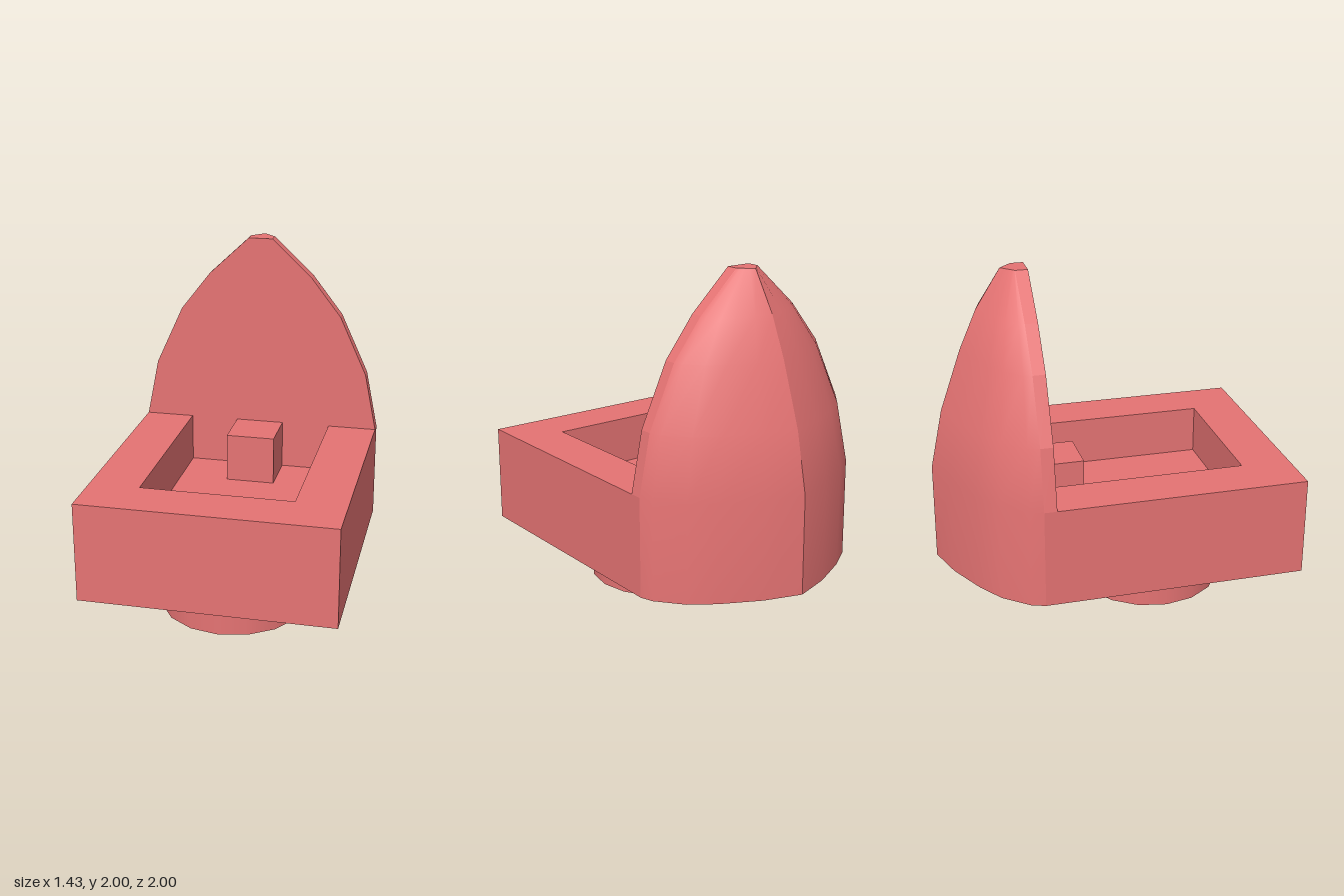
import * as THREE from 'three';

const U = 1 / 7; // modelling unit

export function createModel() {
  const group = new THREE.Group();
  const material = new THREE.MeshStandardMaterial({ color: 0xe57373 });

  const add = (name, geometry, parent = group) => {
    const mesh = new THREE.Mesh(geometry, material);
    mesh.name = name;
    parent.add(mesh);
    return mesh;
  };
  const box = (name, w, h, d, x, y, z) =>
    add(name, new THREE.BoxGeometry(w * U, h * U, d * U)).position.set(x * U, y * U, z * U);
  const shapeOf = (points) => new THREE.Shape(points.map(([x, y]) => new THREE.Vector2(x, y)));

  // Smooth surface through rows of points, rows running upwards
  const loft = (rows) => {
    const n = rows[0].length;
    const index = [];
    for (let j = 0; j < rows.length - 1; j++) {
      for (let i = 0; i < n - 1; i++) {
        const a = j * n + i, b = a + 1, c = b + n, d = a + n;
        index.push(a, b, c, a, c, d);
      }
    }
    const geometry = new THREE.BufferGeometry();
    geometry.setAttribute('position', new THREE.Float32BufferAttribute(rows.flat(2), 3));
    geometry.setIndex(index);
    geometry.computeVertexNormals();
    return geometry;
  };

  // Round stud underneath
  add('stud', new THREE.CylinderGeometry(3 * U, 3 * U, 2 * U, 16)).position.set(0, U, 2 * U);

  // Base slab, with a U-shaped rim around the recess
  box('baseSlab', 10, 2, 10, 0, 3, 2);
  const rim = shapeOf([
    [-5, 3], [-5, -7], [5, -7], [5, 3], [3, 3], [3, -5], [-3, -5], [-3, 3],
  ].map(([x, y]) => [x * U, y * U]));
  const rimGeometry = new THREE.ExtrudeGeometry(rim, { depth: 2 * U, bevelEnabled: false });
  rimGeometry.rotateX(-Math.PI / 2);
  add('baseRim', rimGeometry).position.y = 4 * U;

  // Small peg in the recess against the back wall
  box('peg', 2, 2, 2, 0, 5, -2);

  // Pointed back shell: [height, half width, depth of the curved part]
  const levels = [
    [2 * U, 5 * U, 0.5], [6 * U, 5 * U, 0.5], [1.2, 0.645, 0.43],
    [1.55, 0.485, 0.31], [1.775, 0.31, 0.213], [2, 0.5 * U, 0.5 * U],
  ];
  // Plan of half the shell, as fractions of half width and depth
  const plan = [[1, 0], [0.965, 0.15], [0.8, 0.44], [0.605, 0.635], [0.3, 0.86], [0, 1]];
  const zFront = -3 * U, zCurve = -3.5 * U;
  const top = levels.length - 1;

  const shell = new THREE.Group();
  shell.name = 'backShell';
  group.add(shell);

  const arcRows = levels.map(([y, w, d], j) =>
    plan.map(([px, pz]) => [px * w, y, zCurve - d * (j === top ? 1 - px : pz)]));
  const stripRows = levels.map(([y, w]) => [[w, y, zFront], [w, y, zCurve]]);
  const mirror = (rows) => rows.map((row) => row.map(([x, y, z]) => [-x, y, z]).reverse());

  add('leftCurve', loft(arcRows), shell);
  add('rightCurve', loft(mirror(arcRows)), shell);
  add('leftEdge', loft(stripRows).toNonIndexed(), shell).geometry.computeVertexNormals();
  add('rightEdge', loft(mirror(stripRows)).toNonIndexed(), shell).geometry.computeVertexNormals();

  // Flat front of the shell
  const face = levels.map(([y, w]) => [w, y]);
  const faceLeft = levels.map(([y, w]) => [-w, y]).reverse();
  add('shellFront', new THREE.ShapeGeometry(shapeOf([...face, ...faceLeft])), shell).position.z = zFront;

  // Bottom and tip caps follow the shell's cross-section
  const cap = (name, j, up) => {
    const [y, w] = levels[j];
    const half = [[w, zFront], ...arcRows[j].map(([x, , z]) => [x, z])];
    const outline = [...half, ...half.slice(0, -1).reverse().map(([x, z]) => [-x, z])];
    const geometry = new THREE.ShapeGeometry(shapeOf(outline.map(([x, z]) => [x, up ? -z : z])));
    geometry.rotateX(up ? -Math.PI / 2 : Math.PI / 2);
    add(name, geometry, shell).position.y = y;
  };
  cap('shellBottom', 0, false);
  cap('shellTip', top, true);

  return group;
}
